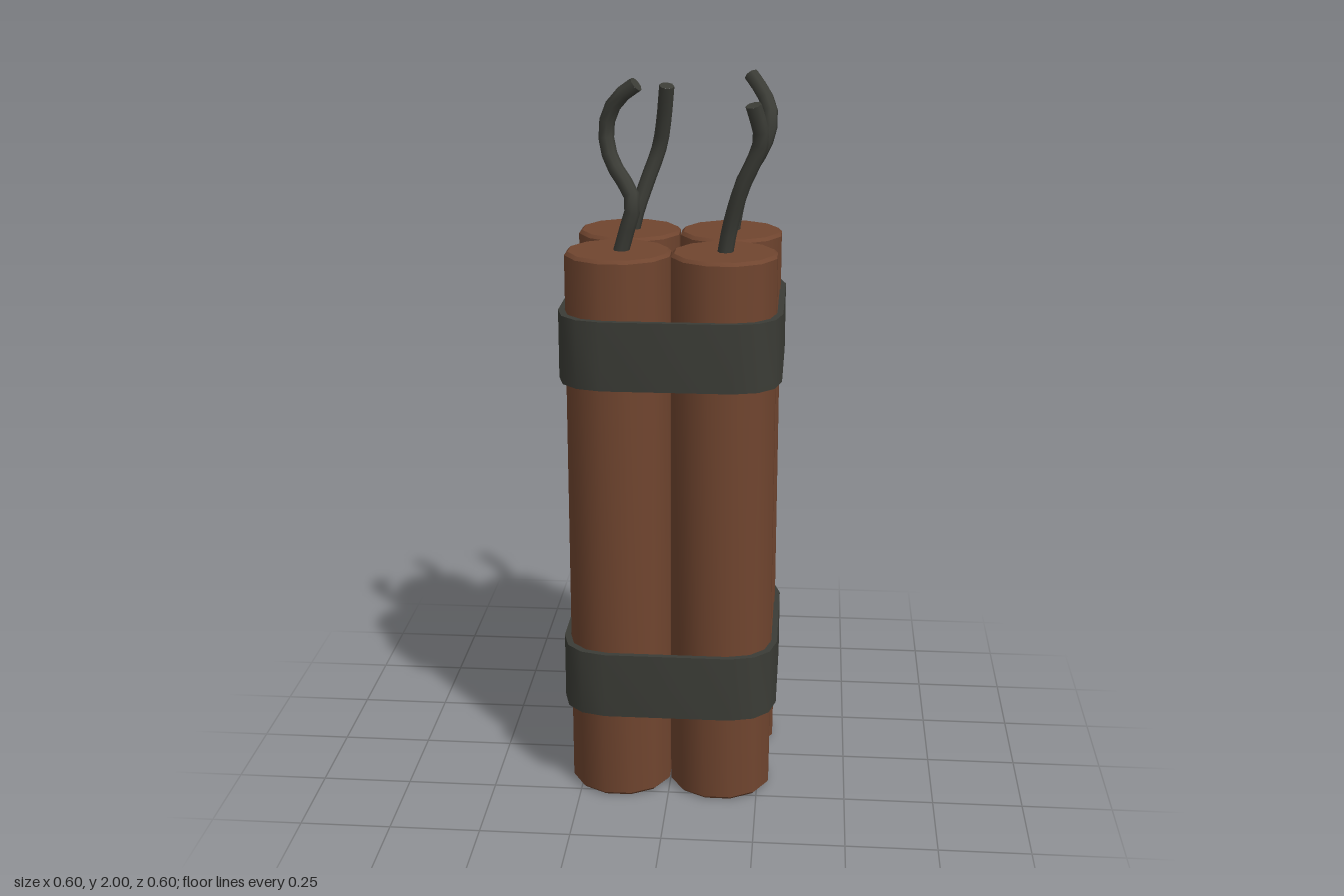
import * as THREE from 'three';
import { toCreasedNormals } from 'three/addons/utils/BufferGeometryUtils.js';

const v2 = (x, y) => new THREE.Vector2(x, y);

// Twelve-sided stick with a small bevel at both ends
function stickGeometry() {
  const r = 0.1445, b = 0.009, y0 = 0.004, y1 = 1.557;
  const profile = [v2(0, y0), v2(r - b, y0), v2(r, y0 + b), v2(r, y1 - b), v2(r - b, y1), v2(0, y1)];
  return toCreasedNormals(new THREE.LatheGeometry(profile, 12, Math.PI / 12), 0.7);
}

// Rounded square outline; each corner is given by four points
function outline(half) {
  const corner = [[1, 0.58], [0.94, 0.8], [0.8, 0.94], [0.58, 1]];
  const pts = [];
  for (let q = 0; q < 4; q++) {
    const c = Math.round(Math.cos(q * Math.PI / 2)), s = Math.round(Math.sin(q * Math.PI / 2));
    for (const [x, y] of corner) pts.push(v2((c * x - s * y) * half, (s * x + c * y) * half));
  }
  return pts;
}

// Strap: a hollow ring with its height along y
function bandGeometry(height) {
  const shape = new THREE.Shape(outline(0.3));
  shape.holes.push(new THREE.Path(outline(0.284)));
  const geo = new THREE.ExtrudeGeometry(shape, { depth: height, bevelEnabled: false });
  geo.rotateX(-Math.PI / 2);
  return toCreasedNormals(geo, 0.75);
}

// Fuse: bent cord closed by a flat disc at its tip
function makeFuse(points, material) {
  const fuse = new THREE.Group();
  const curve = new THREE.CatmullRomCurve3(points.map(p => new THREE.Vector3(...p)));
  const radius = 0.021, sides = 8;
  const cord = new THREE.Mesh(new THREE.TubeGeometry(curve, 12, radius, sides), material);
  cord.name = 'fuseCord';
  const tip = new THREE.Mesh(new THREE.CircleGeometry(radius, sides), material);
  tip.name = 'fuseTip';
  tip.position.copy(curve.getPoint(1));
  tip.quaternion.setFromUnitVectors(new THREE.Vector3(0, 0, 1), curve.getTangent(1));
  fuse.add(cord, tip);
  return fuse;
}

export function createModel() {
  const model = new THREE.Group();
  model.name = 'stickBundle';
  const brown = new THREE.MeshStandardMaterial({ color: 0x70452f });
  brown.name = 'brown paper';
  const dark = new THREE.MeshStandardMaterial({ color: 0x3b3c36 });
  dark.name = 'dark grey cord';

  // Four sticks, each with its own fuse path
  const sticks = [
    { name: 'frontRight', at: [-0.141, 0.14], fuse: [[-0.14, 1.53, 0.14], [-0.12, 1.6, 0.145],
      [-0.1, 1.69, 0.148], [-0.165, 1.79, 0.08], [-0.178, 1.87, 0.062], [-0.15, 1.94, 0.075], [-0.095, 1.985, 0.092]] },
    { name: 'frontLeft', at: [0.142, 0.142], fuse: [[0.14, 1.53, 0.14], [0.155, 1.62, 0.148],
      [0.185, 1.73, 0.17], [0.235, 1.86, 0.19], [0.215, 1.95, 0.212]] },
    { name: 'backRight', at: [-0.138, -0.143], fuse: [[-0.135, 1.53, -0.14], [-0.12, 1.6, -0.143],
      [-0.09, 1.69, -0.16], [-0.058, 1.78, -0.17], [-0.045, 1.85, -0.155], [-0.033, 1.955, -0.122]] },
    { name: 'backLeft', at: [0.146, -0.143], fuse: [[0.145, 1.53, -0.152], [0.155, 1.6, -0.15],
      [0.18, 1.7, -0.142], [0.235, 1.8, -0.128], [0.25, 1.87, -0.138], [0.235, 1.92, -0.17], [0.193, 1.975, -0.217]] },
  ];
  const stickGeo = stickGeometry();
  for (const { name, at, fuse } of sticks) {
    const stick = new THREE.Mesh(stickGeo, brown);
    stick.name = name + 'Stick';
    stick.position.set(at[0], 0, at[1]);
    const cord = makeFuse(fuse, dark);
    cord.name = name + 'Fuse';
    model.add(stick, cord);
  }

  // Two straps around the bundle
  const bandGeo = bandGeometry(0.187);
  [['lowerBand', 0.264], ['upperBand', 1.212]].forEach(([name, y]) => {
    const band = new THREE.Mesh(bandGeo, dark);
    band.name = name;
    band.position.y = y;
    model.add(band);
  });

  return model;
}
